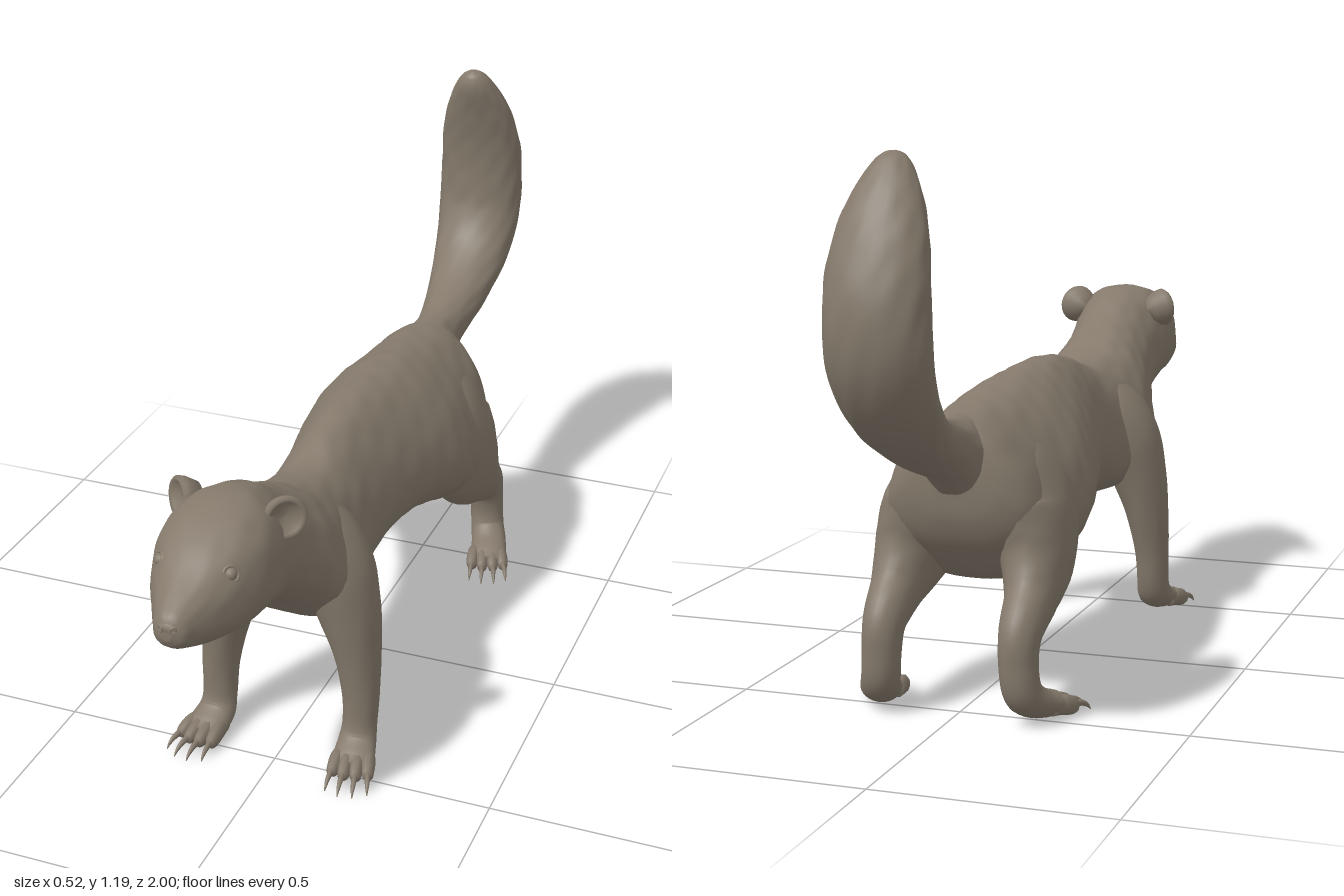
import * as THREE from 'three';

const fur = new THREE.MeshStandardMaterial({ color: 0x857a6c });
fur.name = 'greyBrownFur';

// Skin through stations [x, y, z, halfWidth, halfHeight, squareness = 2].
// dir fixes the section plane; without it sections follow the path.
// taper(z) makes sections pear-shaped, narrower on top.
function loft(name, stations, { rings = 24, sides = 20, dir = null, bump = 0, taper = () => 0 } = {}) {
  const path = new THREE.CatmullRomCurve3(stations.map(s => new THREE.Vector3(s[0], s[1], s[2])), false, 'catmullrom', 0.5);
  const size = new THREE.CatmullRomCurve3(stations.map(s => new THREE.Vector3(s[3], s[4], s[5] ?? 2)), false, 'catmullrom', 0.5);
  const pos = [], index = [];
  const power = (v, e) => Math.sign(v) * Math.pow(Math.abs(v), 2 / e);
  for (let i = 0; i <= rings; i++) {
    const c = path.getPoint(i / rings), s = size.getPoint(i / rings);
    const t = dir ?? path.getTangent(i / rings);
    const side = new THREE.Vector3(1, 0, 0).addScaledVector(t, -t.x).normalize();
    const up = new THREE.Vector3().crossVectors(t, side);
    for (let j = 0; j < sides; j++) {
      const a = j / sides * Math.PI * 2;
      // Gentle fur lumps
      const n = 1 + bump * (Math.sin(c.z * 70 + c.y * 40 + 7 * a) + Math.sin(c.z * 53 + c.y * 60 - 9 * a) + Math.sin(c.z * 29 - c.y * 33 + 13 * a));
      const v = power(Math.sin(a), s.z);
      const p = c.clone()
        .addScaledVector(side, Math.max(s.x, 0.001) * n * power(Math.cos(a), s.z) * (1 - taper(c.z) * v))
        .addScaledVector(up, Math.max(s.y, 0.001) * n * v);
      pos.push(p.x, p.y, p.z);
      if (i < rings) {
        const k = (j + 1) % sides, A = i * sides + j, B = i * sides + k;
        index.push(A, B, B + sides, A, B + sides, A + sides);
      }
    }
  }
  // Close both ends
  const last = rings * sides;
  for (let j = 1; j < sides - 1; j++) index.push(0, j + 1, j, last, last + j, last + j + 1);
  const g = new THREE.BufferGeometry();
  g.setAttribute('position', new THREE.Float32BufferAttribute(pos, 3));
  g.setIndex(index);
  g.computeVertexNormals();
  const m = new THREE.Mesh(g, fur);
  m.name = name;
  return m;
}

function part(name, geometry, x, y, z) {
  const m = new THREE.Mesh(geometry, fur);
  m.name = name;
  m.position.set(x, y, z);
  return m;
}

// Four clawed toes fanned around a heading
function toes(name, s, x, y, z, heading) {
  const g = new THREE.Group();
  g.name = name;
  for (let i = 0; i < 4; i++) {
    const fan = (i - 1.5) / 1.5, a = heading + fan * 0.14;
    const reach = 1 - 0.12 * fan * fan;
    const at = (r, h, w, t) => [
      s * (x + Math.sin(a) * r * reach + fan * 0.03 * Math.cos(heading)), y + h,
      z + Math.cos(a) * r * reach - fan * 0.03 * Math.sin(heading), w, t];
    g.add(loft('toe', [at(0, 0, 0.013, 0.015), at(0.035, 0.004, 0.016, 0.022), at(0.065, -0.002, 0.015, 0.021), at(0.084, -0.008, 0.011, 0.014), at(0.09, -0.01, 0.001, 0.001)], { rings: 12, sides: 10 }));
    g.add(loft('claw', [at(0.075, -0.002, 0.007, 0.009), at(0.102, -0.004, 0.006, 0.007), at(0.122, -0.012, 0.004, 0.005), at(0.135, -0.024, 0.001, 0.001)], { rings: 9, sides: 8 }));
  }
  return g;
}

export function createModel() {
  const model = new THREE.Group();
  model.name = 'marten';

  // Head, neck and trunk: [z, top, bottom, halfWidth, squareness]
  const trunk = [
    [-0.543, 0.6, 0.49, 0.035, 2], [-0.53, 0.637, 0.42, 0.105, 2.2], [-0.49, 0.647, 0.35, 0.155, 2.2],
    [-0.4, 0.656, 0.274, 0.182, 2.2], [-0.3, 0.668, 0.266, 0.195, 2.1], [-0.2, 0.68, 0.3, 0.193, 2.1],
    [-0.1, 0.686, 0.335, 0.173, 2.1], [0, 0.693, 0.352, 0.15, 2.1], [0.1, 0.69, 0.347, 0.132, 2.1],
    [0.2, 0.672, 0.331, 0.122, 2.2], [0.3, 0.643, 0.326, 0.133, 2.4], [0.4, 0.658, 0.335, 0.15, 2.6],
    [0.46, 0.685, 0.375, 0.146, 2.5], [0.51, 0.71, 0.42, 0.13, 2.3], [0.56, 0.737, 0.455, 0.118, 2.2],
    [0.62, 0.772, 0.495, 0.114, 2.2], [0.7, 0.792, 0.532, 0.124, 2.4], [0.78, 0.782, 0.55, 0.123, 2.5],
    [0.85, 0.752, 0.553, 0.103, 2.5], [0.91, 0.712, 0.565, 0.073, 2.4], [0.96, 0.683, 0.583, 0.046, 2.3],
    [0.985, 0.667, 0.598, 0.032, 2.2], [0.997, 0.648, 0.618, 0.012, 2],
  ].map(([z, t, b, w, e]) => [0, (t + b) / 2, z, w, (t - b) / 2, e]);
  model.add(loft('headAndBody', trunk, {
    rings: 154, sides: 64, dir: new THREE.Vector3(0, 0, 1), bump: 0.004,
    taper: z => 0.31 - 0.23 * THREE.MathUtils.smoothstep(z, 0.35, 0.75),
  }));

  // Upswept bushy tail, its root sunk into the rump
  model.add(loft('tail', [
    [0, 0.52, -0.38, 0.1, 0.09], [0, 0.545, -0.46, 0.1, 0.098], [0, 0.568, -0.53, 0.07, 0.082],
    [0, 0.588, -0.6, 0.059, 0.064], [0, 0.632, -0.73, 0.076, 0.061], [0, 0.705, -0.845, 0.096, 0.068],
    [0, 0.8, -0.908, 0.106, 0.075], [0, 0.9, -0.921, 0.106, 0.075], [0, 1.0, -0.905, 0.1, 0.064],
    [0, 1.09, -0.873, 0.08, 0.052], [0, 1.16, -0.838, 0.047, 0.037], [0, 1.188, -0.824, 0.024, 0.02],
    [0, 1.197, -0.82, 0.002, 0.002],
  ], { rings: 84, sides: 48, bump: 0.006 }));

  // Nose pad
  const nose = part('nose', new THREE.SphereGeometry(1, 16, 12), 0, 0.643, 0.98);
  nose.scale.set(0.027, 0.018, 0.018);
  model.add(nose);

  for (const s of [1, -1]) {
    const label = s > 0 ? 'left' : 'right';

    // Cupped round ear
    const earShape = [[0, -0.045], [0.03, -0.034], [0.044, -0.008], [0.047, 0.006], [0.042, 0.013], [0.035, 0.009], [0.022, 0], [0, -0.003]];
    const earGeo = new THREE.LatheGeometry(earShape.map(p => new THREE.Vector2(...p)), 24).rotateX(Math.PI / 2);
    const ear = part(label + 'Ear', earGeo, s * 0.111, 0.742, 0.68);
    ear.rotation.set(-0.1, s * 0.75, 0, 'YXZ');
    model.add(ear);

    // Eye with a low lid, and nostril
    const eye = part(label + 'Eye', new THREE.SphereGeometry(0.014, 14, 10), s * 0.074, 0.706, 0.86);
    const lid = part(label + 'Eyelid', new THREE.TorusGeometry(0.016, 0.004, 8, 20), s * 0.076, 0.707, 0.863);
    lid.rotation.set(-0.4, s * 0.8, 0, 'YXZ');
    const nostril = part(label + 'Nostril', new THREE.TorusGeometry(0.006, 0.0025, 8, 14), s * 0.013, 0.643, 0.994);
    nostril.rotation.y = s * 0.5;
    model.add(eye, lid, nostril);

    // Front leg and paw
    model.add(loft(label + 'FrontLeg', [
      [0.05, 0.6, 0.375, 0.03, 0.06], [0.08, 0.53, 0.38, 0.062, 0.1], [0.11, 0.45, 0.385, 0.076, 0.1],
      [0.138, 0.36, 0.391, 0.066, 0.082], [0.157, 0.27, 0.396, 0.052, 0.064], [0.168, 0.17, 0.404, 0.042, 0.046],
      [0.169, 0.09, 0.412, 0.039, 0.038], [0.17, 0.052, 0.432, 0.043, 0.035], [0.177, 0.036, 0.475, 0.046, 0.026],
      [0.182, 0.032, 0.505, 0.032, 0.016],
    ].map(([x, ...r]) => [s * x, ...r]), { rings: 54, sides: 28, bump: 0.004 }));
    model.add(toes(label + 'FrontToes', s, 0.172, 0.031, 0.447, 0.18));

    // Hind leg with thigh, hock and paw
    model.add(loft(label + 'HindLeg', [
      [0.05, 0.6, -0.36, 0.04, 0.07], [0.088, 0.51, -0.365, 0.078, 0.135], [0.117, 0.42, -0.368, 0.09, 0.152],
      [0.14, 0.33, -0.41, 0.078, 0.12], [0.15, 0.26, -0.477, 0.056, 0.073], [0.151, 0.205, -0.545, 0.045, 0.054],
      [0.152, 0.14, -0.56, 0.042, 0.042], [0.158, 0.08, -0.552, 0.042, 0.04], [0.174, 0.05, -0.515, 0.044, 0.034],
      [0.19, 0.038, -0.465, 0.044, 0.026], [0.198, 0.034, -0.435, 0.03, 0.016],
    ].map(([x, ...r]) => [s * x, ...r]), { rings: 60, sides: 28, bump: 0.004 }));
    model.add(toes(label + 'HindToes', s, 0.176, 0.033, -0.496, 0.32));
  }
  return model;
}
